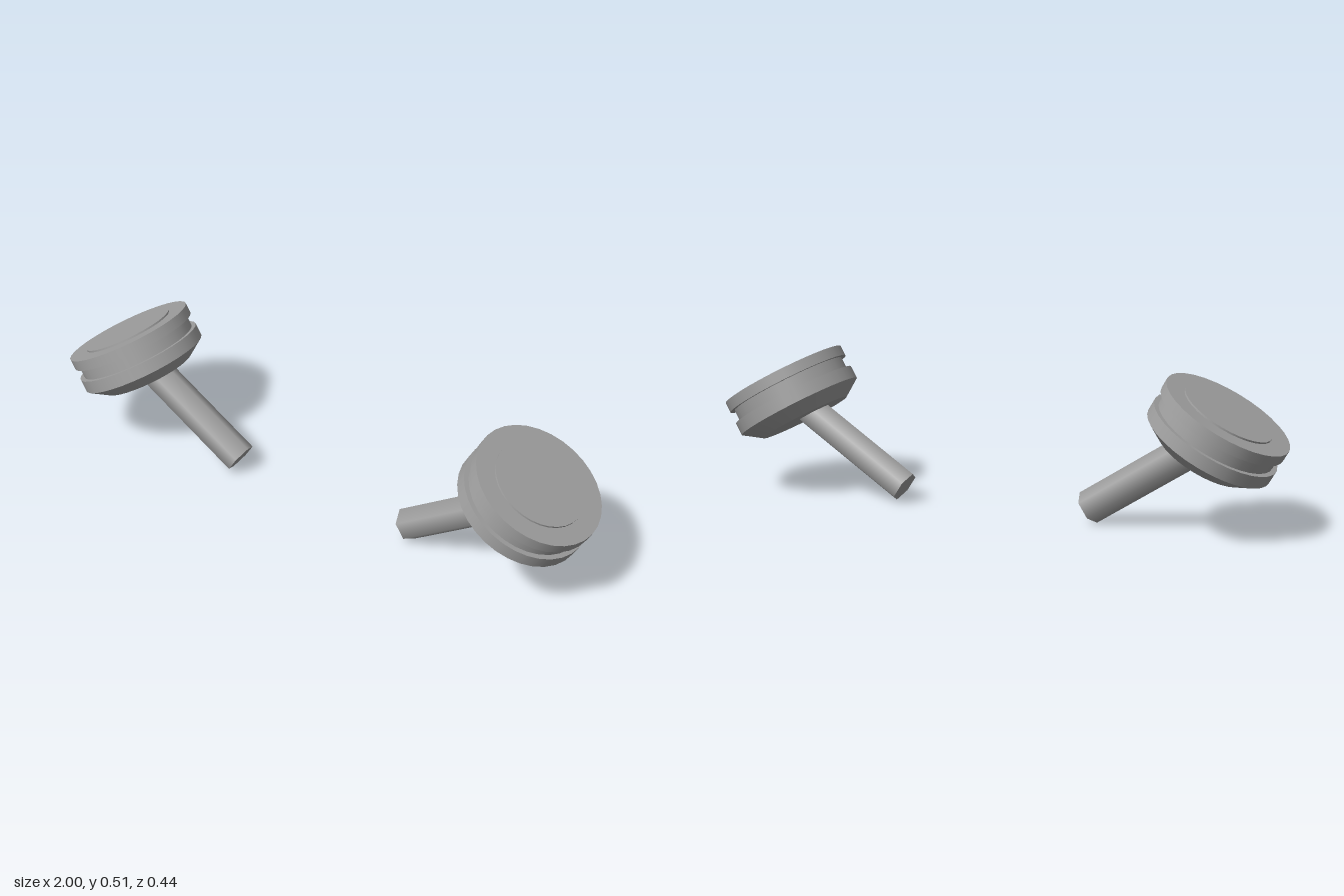
import * as THREE from 'three';
import { mergeGeometries } from 'three/addons/utils/BufferGeometryUtils.js';

const HEAD_TILT = THREE.MathUtils.degToRad(30);
const STEM_TILT = THREE.MathUtils.degToRad(57);

// Head profile as [radius, height], bottom to top; the rim's top is height 0
const HEAD_PROFILE = [
  [0, -0.167], [0.16, -0.167], [0.222, -0.124], [0.222, -0.079], // bevel and lower ring
  [0.206, -0.079], [0.206, -0.037],                              // groove
  [0.222, -0.037], [0.222, 0],                                   // upper rim
  [0.157, 0], [0.157, 0.006], [0, 0.006],                        // raised cap
];

// One lathe per profile segment keeps every ring edge sharp
function turned(profile, sides) {
  const points = profile.map(([r, y]) => new THREE.Vector2(r, y));
  const bands = points.slice(1).map((p, i) => new THREE.LatheGeometry([points[i], p], sides));
  return mergeGeometries(bands);
}

function createKnob(material) {
  const knob = new THREE.Group();

  // Grooved round head, leaning outward
  const head = new THREE.Mesh(turned(HEAD_PROFILE, 32), material);
  head.name = 'head';
  head.position.set(0.808, 0.4, 0);
  head.rotation.z = -HEAD_TILT;

  // Six-sided stem, running from its free end up into the head
  const length = 0.46;
  const stemGeometry = new THREE.CylinderGeometry(0.057, 0.057, length, 6);
  stemGeometry.rotateY(Math.PI / 6);
  stemGeometry.translate(0, length / 2, 0);
  const stem = new THREE.Mesh(stemGeometry, material);
  stem.name = 'stem';
  stem.position.set(0.338, 0.048, 0);
  stem.rotation.z = -STEM_TILT;

  knob.add(head, stem);
  return knob;
}

export function createModel() {
  const model = new THREE.Group();
  model.name = 'knobPair';
  const grey = new THREE.MeshStandardMaterial({ color: 0xa0a0a0 });
  grey.name = 'grey';

  // Two opposite knobs
  ['leftKnob', 'rightKnob'].forEach((name, i) => {
    const knob = createKnob(grey);
    knob.name = name;
    knob.rotation.y = i * Math.PI;
    model.add(knob);
  });
  return model;
}
